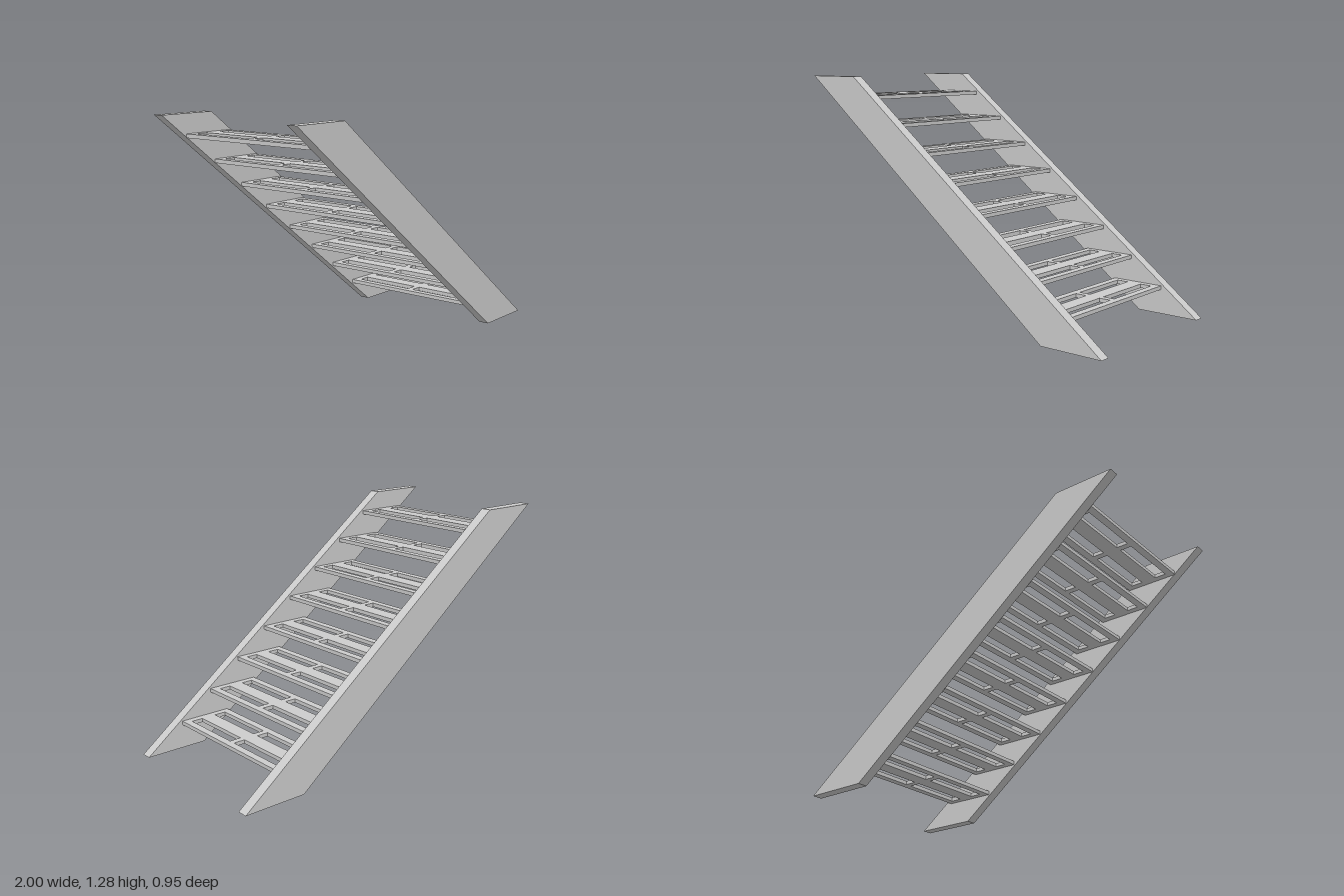
import * as THREE from 'three';

const material = new THREE.MeshStandardMaterial({ color: 0xcccccc, flatShading: true });

function polygon(points, Type = THREE.Shape) {
  return new Type(points.map(([x, y]) => new THREE.Vector2(x, y)));
}

const rectangle = (x0, y0, x1, y1, Type) =>
  polygon([[x0, y0], [x1, y0], [x1, y1], [x0, y1]], Type);

function extrude(shape, depth) {
  return new THREE.ExtrudeGeometry(shape, { depth, bevelEnabled: false })
    .translate(0, 0, -depth / 2);
}

export function createModel() {
  const group = new THREE.Group();
  group.name = 'openStaircase';

  // Sloping side boards, cut level at the top and bottom
  const boardGeometry = extrude(
    polygon([[0.645, 0], [1, 0], [-0.67, 1.28], [-1, 1.28]]), 0.058);
  for (const side of [-1, 1]) {
    const board = new THREE.Mesh(boardGeometry, material);
    board.name = side > 0 ? 'frontStringer' : 'backStringer';
    board.position.z = side * 0.448;
    group.add(board);
  }

  // Tread with four slots: two across its depth, two along its length
  const treadShape = rectangle(-0.148, -0.42, 0.148, 0.42);
  for (const sx of [-1, 1]) {
    for (const sz of [-1, 1]) {
      const x = sx * 0.075, y = sz * 0.2;
      treadShape.holes.push(
        rectangle(x - 0.033, y - 0.182, x + 0.033, y + 0.182, THREE.Path));
    }
  }
  const treadGeometry = extrude(treadShape, 0.021).rotateX(-Math.PI / 2);

  // Eight treads climbing toward -x
  for (let i = 0; i < 8; i++) {
    const tread = new THREE.Mesh(treadGeometry, material);
    tread.name = `tread${i + 1}`;
    tread.position.set(0.633 - i * 0.19, 0.144 + i * 0.146, 0);
    group.add(tread);
  }
  return group;
}
